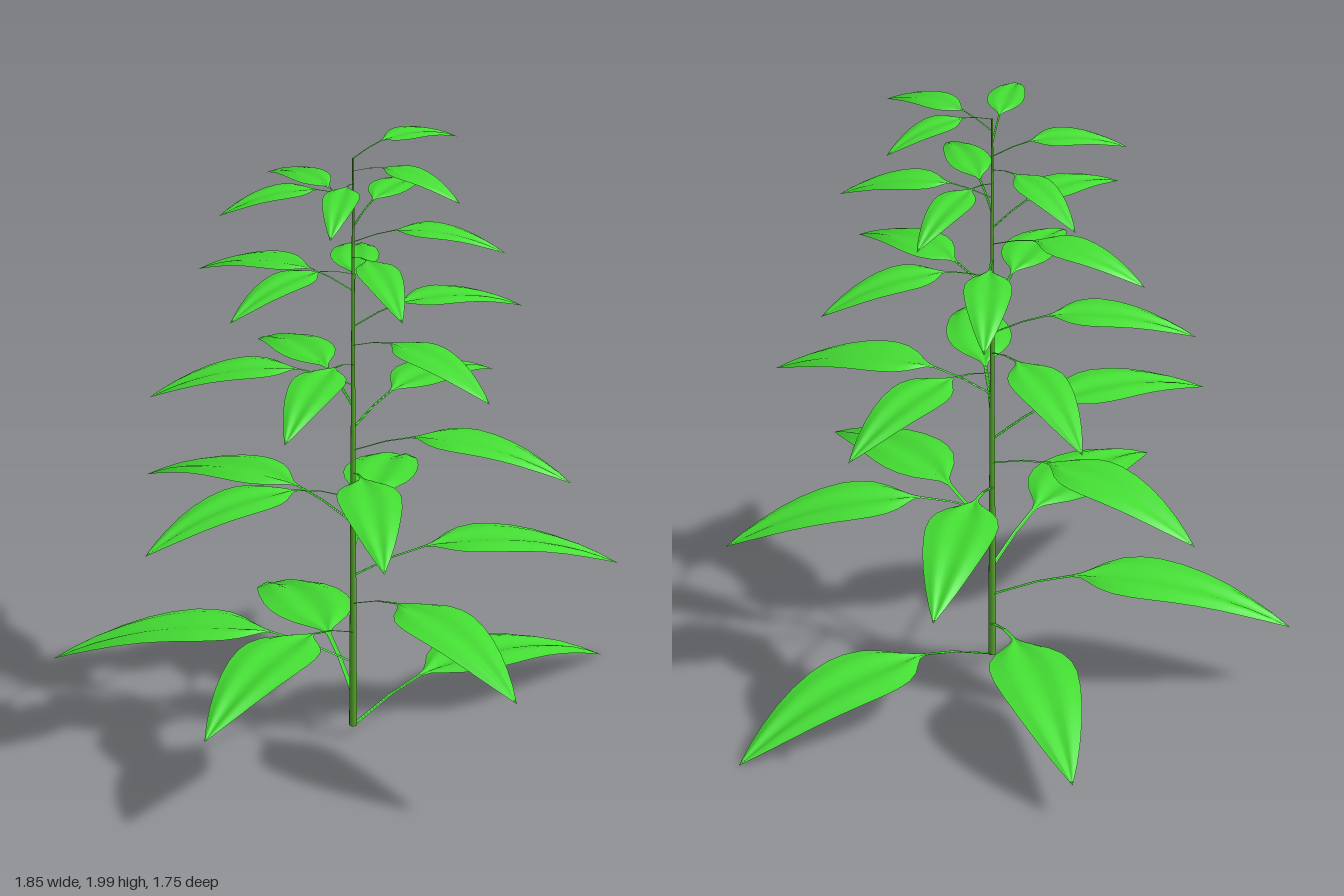
import * as THREE from 'three';

const LEAVES = 28;
const SHRINK = 0.965;              // each leaf is this much smaller than the one below
const TURN = THREE.MathUtils.degToRad(66.4);
const BASE_Y = 0.05, FIRST_GAP = 0.108;
const LENGTH = 1;

// Half width of petiole and blade along the leaf: [position 0..1, half width]
const OUTLINE = [
  [0, 0.008], [0.15, 0.007], [0.27, 0.008], [0.3, 0.02], [0.33, 0.048], [0.37, 0.088],
  [0.42, 0.12], [0.48, 0.136], [0.54, 0.138], [0.62, 0.128], [0.7, 0.111],
  [0.78, 0.089], [0.86, 0.062], [0.93, 0.034], [1, 0.0005],
];

// Arched ribbon with a furrowed midrib and softly swollen halves, pointing along +x
function leafGeometry() {
  const across = 12, positions = [], index = [];
  OUTLINE.forEach(([t, half], row) => {
    const d = t * LENGTH;
    const arch = 0.49 * d - 0.531 * d * d;
    const swell = Math.min(0.006, 0.1 * half);
    for (let j = 0; j <= across; j++) {
      const s = (j / across) * 2 - 1;
      positions.push(d, arch - swell * Math.cos(s * 2 * Math.PI), s * half);
      if (row > 0 && j < across) {
        const b = row * (across + 1) + j, a = b - across - 1;
        index.push(a, a + 1, b, a + 1, b + 1, b);
      }
    }
  });
  const geometry = new THREE.BufferGeometry();
  geometry.setAttribute('position', new THREE.Float32BufferAttribute(positions, 3));
  geometry.setIndex(index);
  geometry.computeVertexNormals();
  return geometry;
}

// Height of the joint where leaf i leaves the stem
const jointY = (i) => BASE_Y + FIRST_GAP * (1 - SHRINK ** i) / (1 - SHRINK);

export function createModel() {
  const plant = new THREE.Group();
  plant.name = 'plant';
  plant.position.set(-0.077, 0, 0.01);

  const leafMaterial = new THREE.MeshStandardMaterial({ color: 0x44dd33, side: THREE.DoubleSide });
  const stemMaterial = new THREE.MeshStandardMaterial({ color: 0x55a52c });

  // Tapering stem
  const top = jointY(LEAVES - 1);
  const stem = new THREE.Mesh(
    new THREE.CylinderGeometry(0.003, 0.0125, top - BASE_Y, 10, 1), stemMaterial);
  stem.name = 'stem';
  stem.position.y = (top + BASE_Y) / 2;
  plant.add(stem);

  // Spiral of leaves, shrinking upward
  const geometry = leafGeometry();
  for (let i = 0; i < LEAVES; i++) {
    const leaf = new THREE.Mesh(geometry, leafMaterial);
    leaf.name = `leaf${i + 1}`;
    leaf.position.y = jointY(i);
    leaf.rotation.y = i * TURN;
    leaf.scale.setScalar(SHRINK ** i);
    plant.add(leaf);
  }

  const model = new THREE.Group();
  model.name = 'leafyPlant';
  model.add(plant);
  return model;
}
